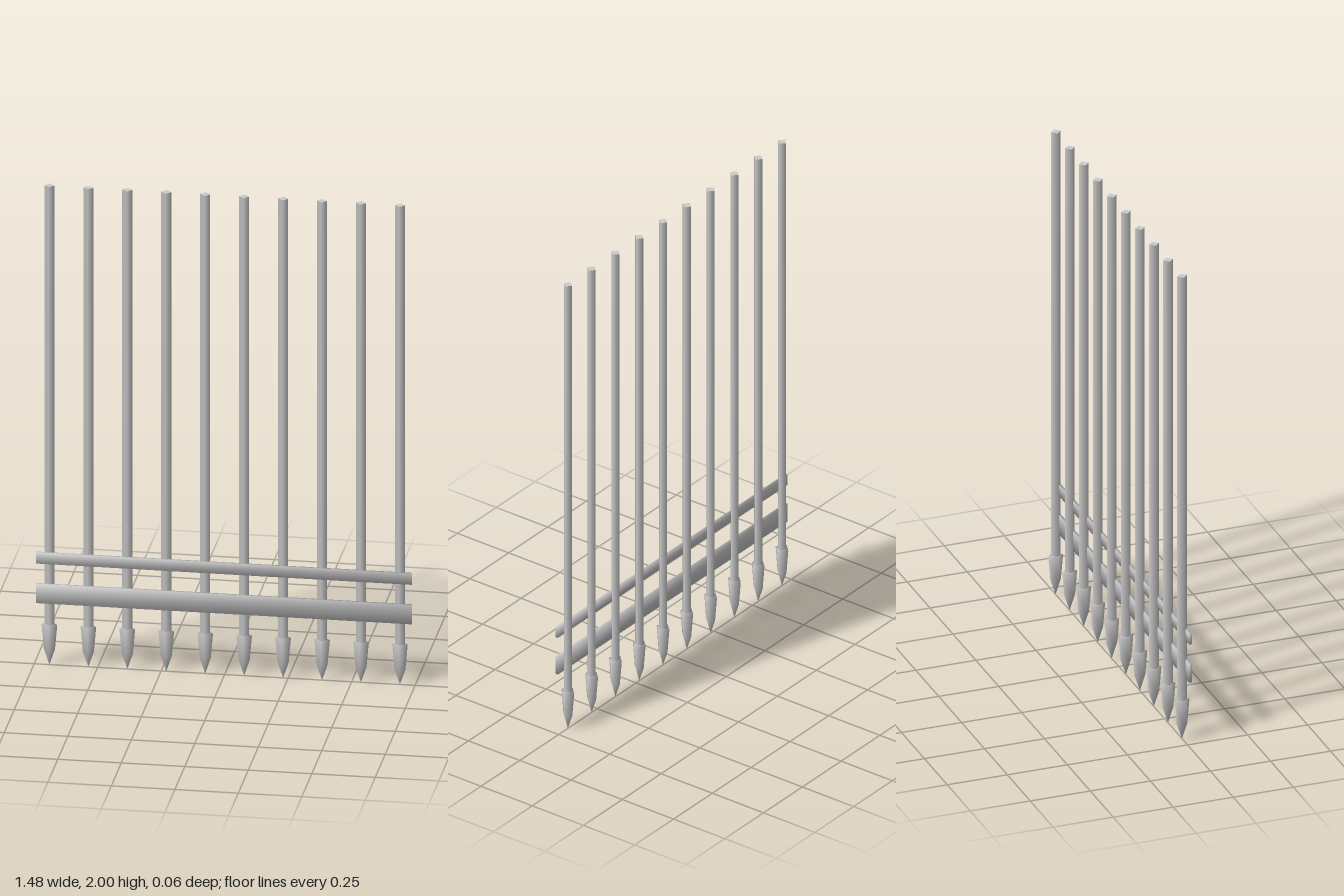
import * as THREE from 'three';

const material = new THREE.MeshStandardMaterial({ color: 0xcccccc });

function addMesh(parent, name, geometry, x, y, z) {
  const mesh = new THREE.Mesh(geometry, material);
  mesh.name = name;
  mesh.position.set(x, y, z);
  parent.add(mesh);
}

// Thin bar with soft shading: every corner normal points diagonally outwards
function softBox(width, height, depth) {
  const geometry = new THREE.BoxGeometry(width, height, depth);
  const p = geometry.attributes.position;
  const k = 1 / Math.sqrt(3);
  for (let i = 0; i < p.count; i++) {
    geometry.attributes.normal.setXYZ(i,
      Math.sign(p.getX(i)) * k, Math.sign(p.getY(i)) * k, Math.sign(p.getZ(i)) * k);
  }
  return geometry;
}

export function createModel() {
  const model = new THREE.Group();
  model.name = 'portcullisGate';

  // Four-sided rods and spear points, standing corner-on to the front
  const rodBottom = 0.16, rodTop = 2;
  const rod = new THREE.CylinderGeometry(0.02, 0.02, rodTop - rodBottom, 4);
  const profile = [[0, 0], [0.022, 0.065], [0.031, 0.168], [0, 0.172]]
    .map(([r, y]) => new THREE.Vector2(r, y));
  const point = new THREE.LatheGeometry(profile, 4);

  const count = 10, halfSpan = 0.69;
  for (let i = 0; i < count; i++) {
    const bar = new THREE.Group();
    bar.name = `bar${i + 1}`;
    bar.position.x = -halfSpan + (2 * halfSpan * i) / (count - 1);
    addMesh(bar, 'rod', rod, 0, (rodBottom + rodTop) / 2, 0);
    addMesh(bar, 'spearPoint', point, 0, 0, 0);
    model.add(bar);
  }

  // Flat rails across the front of the bars
  addMesh(model, 'lowerRail', softBox(1.48, 0.08, 0.011), 0, 0.302, 0.016);
  addMesh(model, 'upperRail', softBox(1.48, 0.046, 0.011), 0, 0.45, 0.016);

  return model;
}
